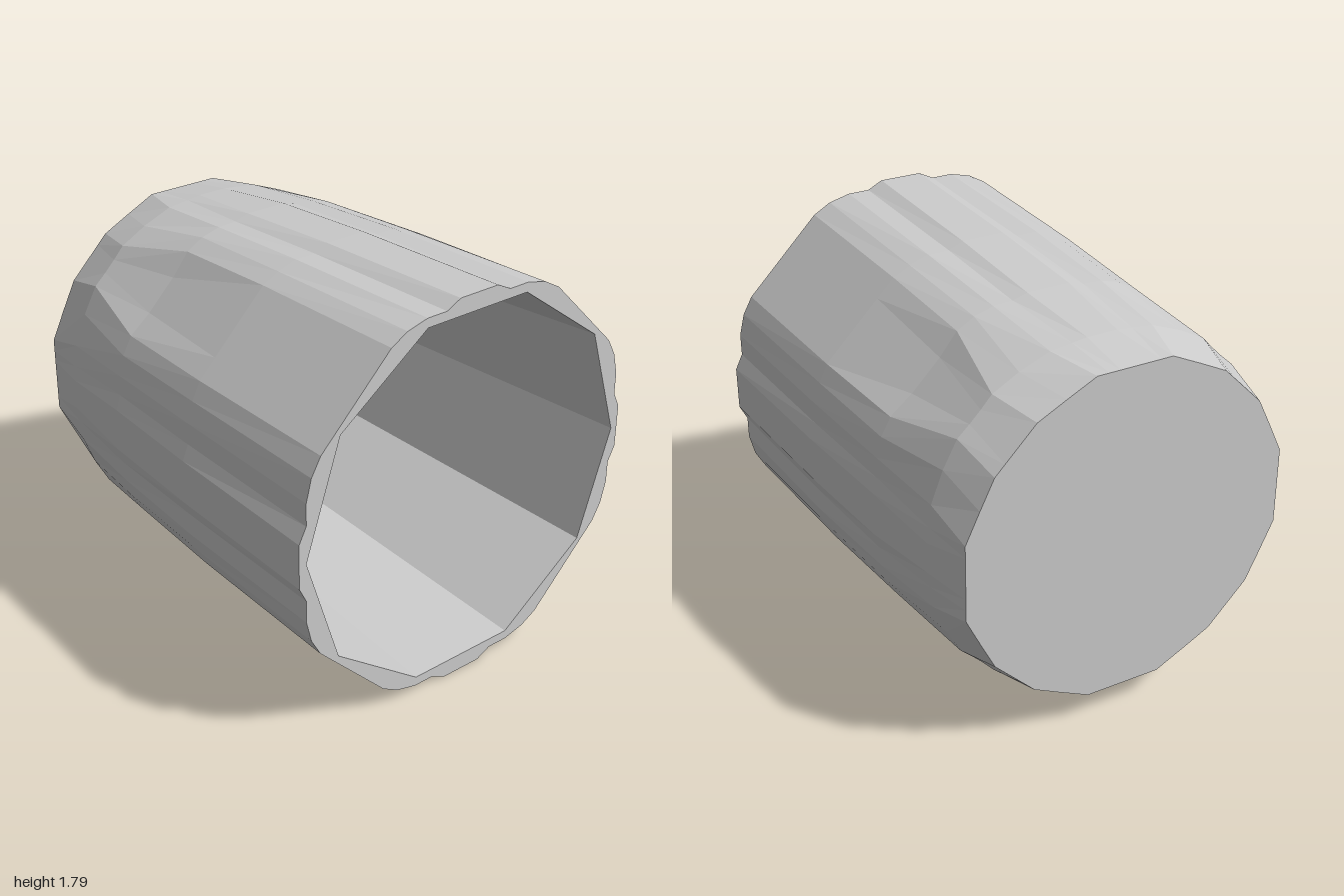
import * as THREE from 'three';

const CENTRE_Y = 0.9;
const material = new THREE.MeshStandardMaterial({ color: 0xcccccc, flatShading: true });

// One eighth of each outer ring, front to back; mirrored and turned into a full outline.
const SECTIONS = [
  { z: 1, eighth: [[0.895, 0.1], [0.86, 0.17], [0.86, 0.27], [0.835, 0.37], [0.79, 0.45], [0.72, 0.52]] },
  { z: 0.2, eighth: [[0.868, 0.1], [0.84, 0.17], [0.84, 0.27], [0.81, 0.36], [0.77, 0.44], [0.69, 0.52]] },
  { z: -0.35, eighth: [[0.835, 0.1], [0.815, 0.17], [0.81, 0.26], [0.785, 0.35], [0.74, 0.43], [0.64, 0.51]] },
  { z: -0.76, eighth: [[0.795, 0.07], [0.787, 0.14], [0.775, 0.24], [0.72, 0.38], [0.655, 0.5], [0.6, 0.55]] },
  { z: -1, eighth: [[0.755, 0.07], [0.755, 0.12], [0.755, 0.175], [0.69, 0.31], [0.625, 0.44], [0.58, 0.485]] },
];

function fullOutline(eighth) {
  const quarter = [...eighth, ...eighth.map(([x, y]) => [y, x]).reverse()];
  const outline = [];
  for (let turn = 0; turn < 4; turn++) {
    const a = turn * Math.PI / 2;
    const c = Math.cos(a), s = Math.sin(a);
    quarter.forEach(([x, y]) => outline.push(new THREE.Vector2(x * c - y * s, x * s + y * c)));
  }
  return outline;
}

function regularOutline(radius, sides) {
  return Array.from({ length: sides }, (_, i) => {
    const a = i / sides * Math.PI * 2;
    return new THREE.Vector2(radius * Math.cos(a), radius * Math.sin(a));
  });
}

// Joins rings of equal point count into a wall, facing outwards or inwards.
function loft(rings, inward = false) {
  const n = rings[0].points.length;
  const positions = [];
  const index = [];
  rings.forEach(({ z, points }) => points.forEach((p) => positions.push(p.x, p.y, z)));
  for (let r = 0; r < rings.length - 1; r++) {
    for (let j = 0; j < n; j++) {
      const a = r * n + j, b = r * n + (j + 1) % n;
      const c = b + n, d = a + n;
      if (inward) index.push(a, c, d, a, b, c);
      else index.push(a, d, c, a, c, b);
    }
  }
  const geometry = new THREE.BufferGeometry();
  geometry.setAttribute('position', new THREE.Float32BufferAttribute(positions, 3));
  geometry.setIndex(index);
  const flat = geometry.toNonIndexed();
  flat.computeVertexNormals();
  return flat;
}

export function createModel() {
  const group = new THREE.Group();
  group.name = 'flutedCup';
  const add = (name, geometry) => {
    const mesh = new THREE.Mesh(geometry, material);
    mesh.name = name;
    mesh.position.y = CENTRE_Y;
    group.add(mesh);
  };

  const rings = SECTIONS.map(({ z, eighth }) => ({ z, points: fullOutline(eighth) }));
  const mouth = regularOutline(0.86, 10);
  const floorZ = -0.92, floorRadius = 0.725;

  // Fluted outer wall
  add('outerWall', loft(rings));

  // Ten-sided hollow
  add('innerWall', loft([
    { z: 1, points: mouth },
    { z: floorZ, points: regularOutline(floorRadius, 10) },
  ], true));
  add('innerFloor', new THREE.CircleGeometry(floorRadius, 10).translate(0, 0, floorZ));

  // Flat rim between the fluted outline and the hollow
  const rim = new THREE.Shape(rings[0].points);
  rim.holes.push(new THREE.Path(mouth));
  add('rim', new THREE.ShapeGeometry(rim).translate(0, 0, 1));

  // Closed back end
  const back = new THREE.Shape(rings[rings.length - 1].points);
  add('backEnd', new THREE.ShapeGeometry(back).rotateY(Math.PI).translate(0, 0, -1));

  return group;
}
